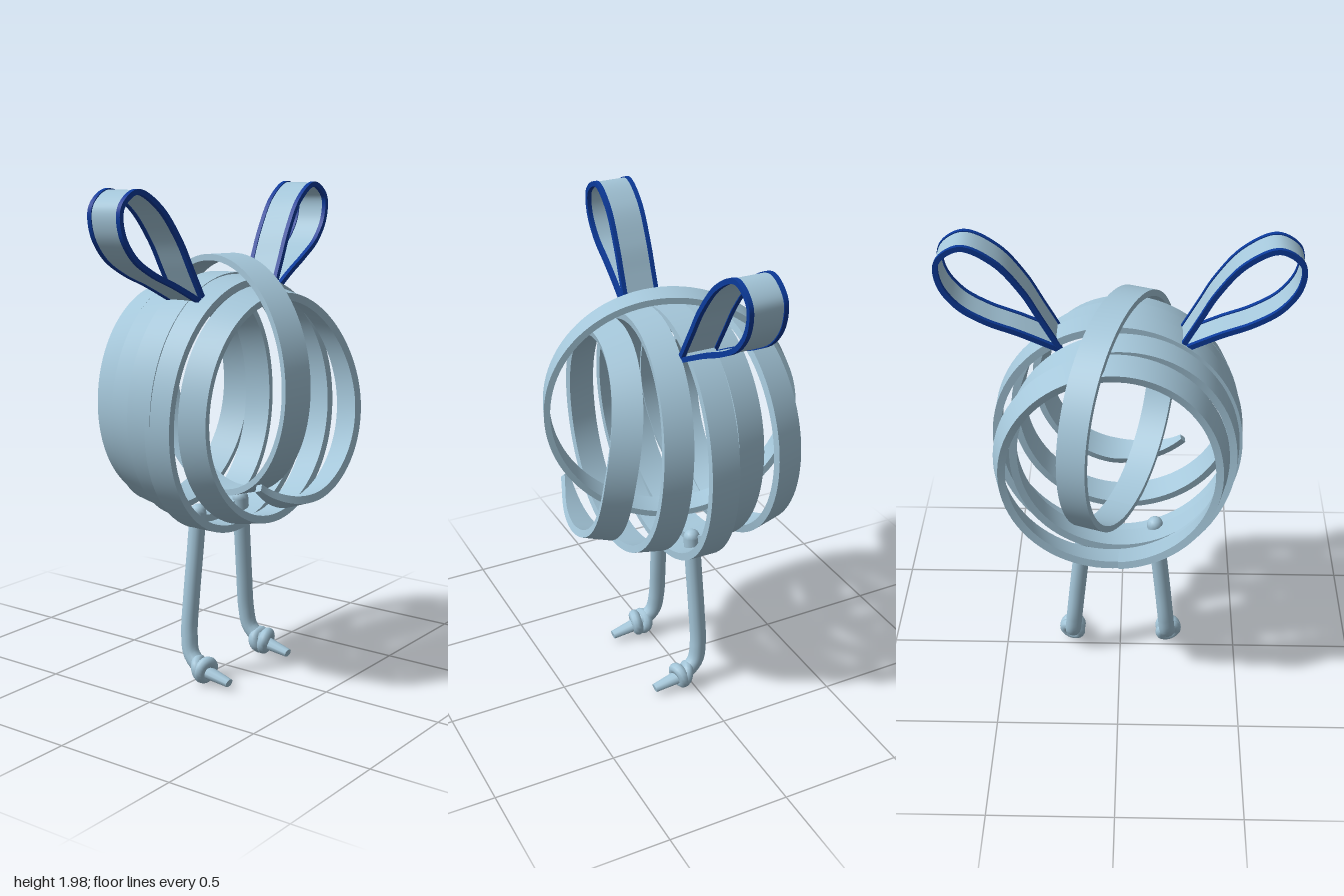
import * as THREE from 'three';

const V = (x, y, z) => new THREE.Vector3(x, y, z);

// Sweeps a flat strap along points; normals give the face direction, widths may taper.
function strap(points, normals, widths, thickness) {
  const pos = [], idx = [], n = points.length;
  const rings = points.map((p, i) => {
    const T = points[Math.min(i + 1, n - 1)].clone().sub(points[Math.max(i - 1, 0)]).normalize();
    const N = normals[i].clone().addScaledVector(T, -normals[i].dot(T)).normalize();
    const B = T.clone().cross(N);
    return [[1, 1], [-1, 1], [-1, -1], [1, -1]].map(([a, b]) =>
      p.clone().addScaledVector(N, a * thickness / 2).addScaledVector(B, b * widths[i] / 2));
  });
  // four separate sides keep the strap edges sharp
  for (let s = 0; s < 4; s++) {
    const base = pos.length / 3;
    rings.forEach((r) => { pos.push(...r[s].toArray(), ...r[(s + 1) % 4].toArray()); });
    for (let i = 0; i < n - 1; i++) {
      const a = base + i * 2;
      idx.push(a, a + 1, a + 3, a, a + 3, a + 2);
    }
  }
  // end caps
  [rings[0], rings[n - 1]].forEach((r, e) => {
    const a = pos.length / 3;
    r.forEach((p) => pos.push(...p.toArray()));
    idx.push(...(e ? [a, a + 1, a + 2, a, a + 2, a + 3] : [a, a + 2, a + 1, a, a + 3, a + 2]));
  });
  const g = new THREE.BufferGeometry();
  g.setAttribute('position', new THREE.Float32BufferAttribute(pos, 3));
  g.setIndex(idx);
  g.computeVertexNormals();
  return g;
}

export function createModel() {
  const root = new THREE.Group();
  const ribbonMat = new THREE.MeshStandardMaterial({ color: 0xa4c6d9 });
  ribbonMat.name = 'pale blue ribbon';
  const trimMat = new THREE.MeshStandardMaterial({ color: 0x0b3a9a });
  trimMat.name = 'navy trim';
  const add = (parent, name, geo, mat = ribbonMat) => {
    const m = new THREE.Mesh(geo, mat);
    m.name = name;
    parent.add(m);
    return m;
  };

  // Spiral body: [radius, z] at each quarter turn, starting at the bottom front
  const quarters = [
    [0.355, 0.385], [0.335, 0.375], [0.45, 0.24], [0.455, 0.19],
    [0.455, 0.2], [0.42, 0.18], [0.49, 0.1], [0.47, 0.04],
    [0.52, 0], [0.49, 0.015], [0.5, -0.02], [0.47, -0.05],
    [0.48, -0.09], [0.42, -0.13], [0.47, -0.14], [0.45, -0.15],
    [0.45, -0.25], [0.46, -0.275], [0.45, -0.27], [0.4, -0.27], [0.44, -0.27],
  ];
  const path = new THREE.CatmullRomCurve3(
    [V(-0.5, 0.37, 0.35), ...quarters.map(([r, z], k) => V(k, r, z))], false, 'catmullrom');
  const pts = [], nrm = [], wid = [];
  const steps = 440;
  for (let i = 0; i <= steps; i++) {
    const q = path.getPoint(i / steps);
    const a = (q.x - 1) * Math.PI / 2;
    pts.push(V(q.y * Math.cos(a), 1.14 + q.y * Math.sin(a), q.z));
    nrm.push(V(Math.cos(a), Math.sin(a), q.z * 0.9));
    wid.push(Math.min(0.115, 0.025 + i * 0.004));
  }
  add(root, 'spiralBody', strap(pts, nrm, wid, 0.03));

  // Upright hoop crossing the spiral from front to back
  const hp = [], hn = [], hw = [];
  for (let i = 0; i <= 96; i++) {
    const a = (i / 96 - 0.25) * Math.PI * 2;
    const d = V(-0.35 * Math.cos(a), Math.sin(a), 0.937 * Math.cos(a));
    hp.push(V(d.x * 0.485, 1.245 + d.y * 0.47, d.z * 0.485));
    hn.push(d);
    hw.push(0.115);
  }
  add(root, 'uprightHoop', strap(hp, hn, hw, 0.025));

  // Looped ears with trimmed edges
  const earCurve = new THREE.CatmullRomCurve3([
    [0.225, 1.55], [0.3, 1.69], [0.36, 1.8], [0.46, 1.925], [0.58, 1.985], [0.665, 1.93],
    [0.662, 1.84], [0.6, 1.75], [0.5, 1.685], [0.38, 1.63], [0.225, 1.55],
  ].map(([x, y]) => V(x, y, -0.035 * Math.min(1, (x - 0.225) / 0.3))));
  const earBase = earCurve.getPoints(80);

  for (const side of [1, -1]) {
    const label = side > 0 ? 'left' : 'right';
    const ear = new THREE.Group();
    ear.name = label + 'Ear';
    root.add(ear);
    const ep = earBase.map((p) => V(p.x * side, p.y, p.z));
    const en = ep.map((p, i) => {
      const t = ep[Math.min(i + 1, 80)].clone().sub(ep[Math.max(i - 1, 0)]);
      return V(-t.y, t.x, 0).normalize();
    });
    add(ear, 'earLoop', strap(ep, en, ep.map(() => 0.13), 0.012));
    for (const e of [1, -1]) {
      const rim = ep.map((p) => V(p.x, p.y, p.z + e * 0.068));
      add(ear, 'earTrim', strap(rim, en, rim.map(() => 0.018), 0.02), trimMat);
    }

    // Leg bending forward into a knotted foot
    const leg = new THREE.Group();
    leg.name = label + 'Leg';
    root.add(leg);
    const legCurve = new THREE.CatmullRomCurve3([
      V(0.145, 0.7, -0.03), V(0.16, 0.56, -0.032), V(0.182, 0.36, -0.036), V(0.198, 0.2, -0.036),
      V(0.205, 0.12, -0.02), V(0.21, 0.075, 0.03), V(0.21, 0.06, 0.07),
    ].map((p) => V(p.x * side, p.y, p.z)));
    add(leg, 'shin', new THREE.TubeGeometry(legCurve, 40, 0.034, 12));
    const top = add(leg, 'legTop', new THREE.SphereGeometry(0.034, 12, 8));
    top.position.set(0.145 * side, 0.7, -0.03);
    // knot: two crossing wraps around the ankle
    for (const tilt of [0.2, -0.3]) {
      const wrap = add(leg, 'knotWrap', new THREE.TorusGeometry(0.034, 0.024, 10, 20));
      wrap.position.set(0.212 * side, 0.068, tilt > 0 ? 0.058 : 0.03);
      wrap.rotation.set(tilt, tilt * side, 0);
    }
    // loose end
    const toe = add(leg, 'toe', new THREE.CylinderGeometry(0.022, 0.034, 0.12, 10));
    toe.position.set(0.21 * side, 0.05, 0.115);
    toe.rotation.x = Math.PI / 2 + 0.2;
    toe.scale.z = 0.75;
  }
  return root;
}
